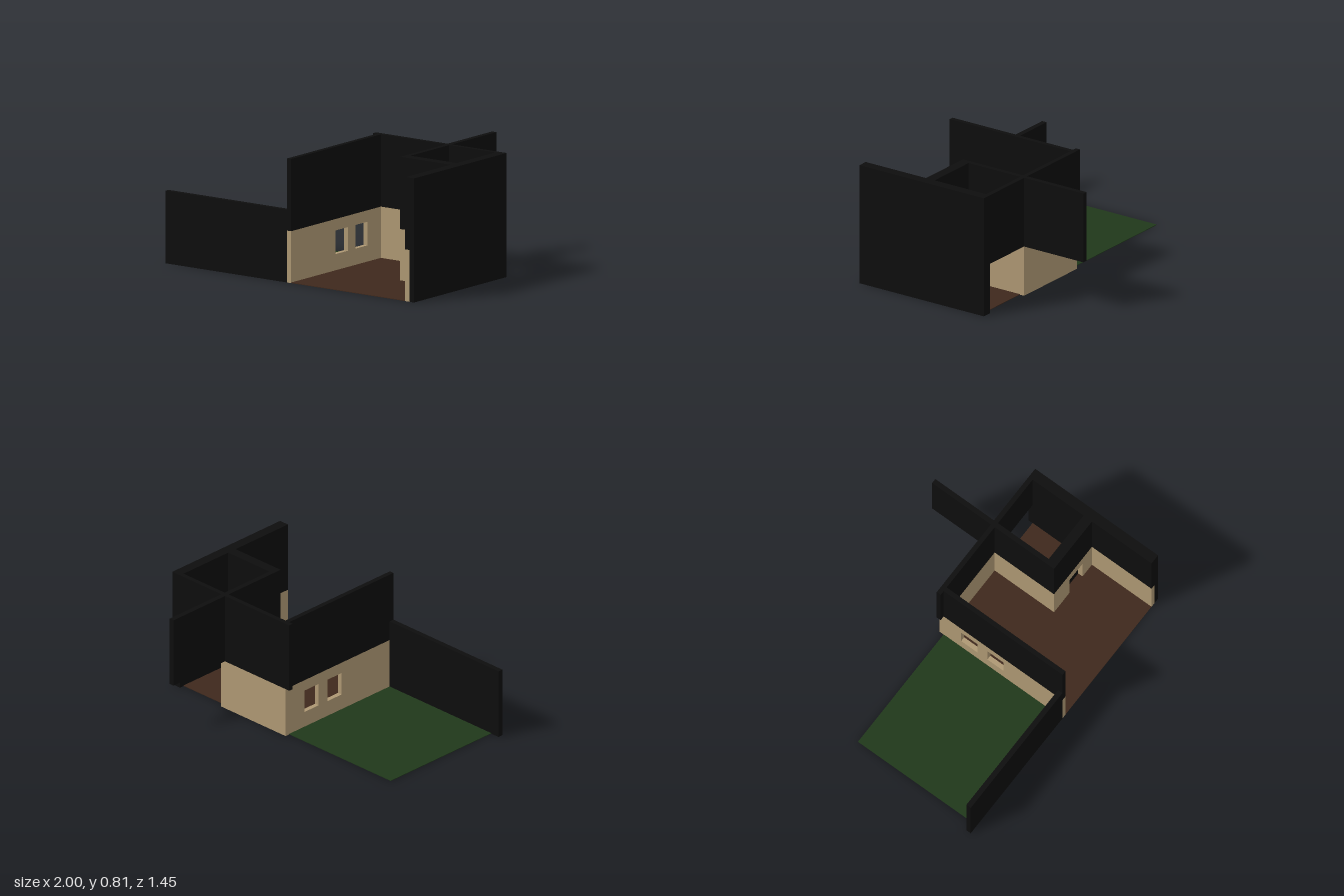
import * as THREE from 'three';

const black = new THREE.MeshStandardMaterial({ color: 0x0d0d0d });
const tan = new THREE.MeshStandardMaterial({ color: 0xae9873 });
const grass = new THREE.MeshStandardMaterial({ color: 0x20381a });
const brown = new THREE.MeshStandardMaterial({ color: 0x3e281c });

const T = 0.004; // floor thickness
const H = 0.34;  // height of the lower walls
const TOP = 0.813;

// Box given by its extents along each axis
function block(name, material, [x0, x1], [y0, y1], [z0, z1]) {
  const mesh = new THREE.Mesh(new THREE.BoxGeometry(x1 - x0, y1 - y0, z1 - z0), material);
  mesh.position.set((x0 + x1) / 2, (y0 + y1) / 2, (z0 + z1) / 2);
  mesh.name = name;
  return mesh;
}

// Wall outline from a list of corners, with rectangular holes [u0, u1, v0, v1]
function pierced(corners, holes, depth) {
  const shape = new THREE.Shape(corners.map(([u, v]) => new THREE.Vector2(u, v)));
  for (const [u0, u1, v0, v1] of holes) {
    shape.holes.push(new THREE.Path([[u0, v0], [u0, v1], [u1, v1], [u1, v0]]
      .map(([u, v]) => new THREE.Vector2(u, v))));
  }
  return new THREE.ExtrudeGeometry(shape, { depth, bevelEnabled: false });
}

export function createModel() {
  const model = new THREE.Group();
  model.name = 'house';

  // Ground surfaces
  model.add(
    block('lawn', grass, [-0.935, -0.02], [0, T], [-0.225, 0.692]),
    block('floor', brown, [0.012, 0.93], [0, T], [-0.225, 0.727]),
  );

  // Garden wall along the front of the lawn
  model.add(block('gardenWall', black, [-1, -0.02], [0, 0.475], [0.692, 0.727]));

  // Lower side wall with two windows; the outline is drawn in (-z, y)
  const sideWall = new THREE.Mesh(pierced(
    [[-0.727, 0], [0.257, 0], [0.257, H], [-0.727, H]],
    [[-0.045, 0.085, 0.11, 0.265], [-0.255, -0.125, 0.11, 0.265]], 0.032), tan);
  sideWall.rotation.y = Math.PI / 2;
  sideWall.position.x = -0.02;
  sideWall.name = 'windowWall';
  model.add(sideWall);

  // Remaining lower walls
  model.add(
    block('lowerBackWall', tan, [0.012, 0.56], [0, H], [-0.257, -0.225]),
    block('lowerPartition', tan, [0.525, 0.56], [T, H], [-0.225, 0.25]),
    block('lowerRightLining', tan, [0.93, 0.965], [0, H], [0.25, 0.727]),
  );

  // Inner front wall with the doorway, backed by a solid dark wall
  const doorWall = new THREE.Mesh(pierced(
    [[0.56, T], [0.69, T], [0.69, 0.242], [0.83, 0.242], [0.83, T], [0.93, T], [0.93, H], [0.56, H]],
    [], 0.035), tan);
  doorWall.position.z = 0.215;
  doorWall.name = 'doorWall';
  model.add(doorWall,
    block('doorBacking', black, [0.56, 0.93], [T, H], [0.182, 0.215]));

  // Right outer wall
  model.add(
    block('rightWall', black, [0.965, 1], [0, TOP], [-0.257, 0.727]),
    block('rightWallRear', black, [0.93, 0.965], [0, H], [-0.257, 0.25]),
    block('rightWallUpper', black, [0.93, 0.965], [H, TOP], [-0.257, 0.727]),
  );

  // Upper walls
  model.add(
    block('upperBackWall', black, [-0.052, 0.93], [H, TOP], [-0.257, -0.225]),
    block('upperSideWall', black, [-0.02, 0.012], [H, TOP], [-0.225, 0.727]),
    block('upperPartition', black, [0.525, 0.56], [H, TOP], [-0.225, 0.25]),
    block('rearFin', black, [0.525, 0.56], [H, TOP], [-0.727, -0.257]),
    block('upperDoorWall', black, [0.56, 0.93], [H, TOP], [0.182, 0.25]),
  );

  return model;
}
